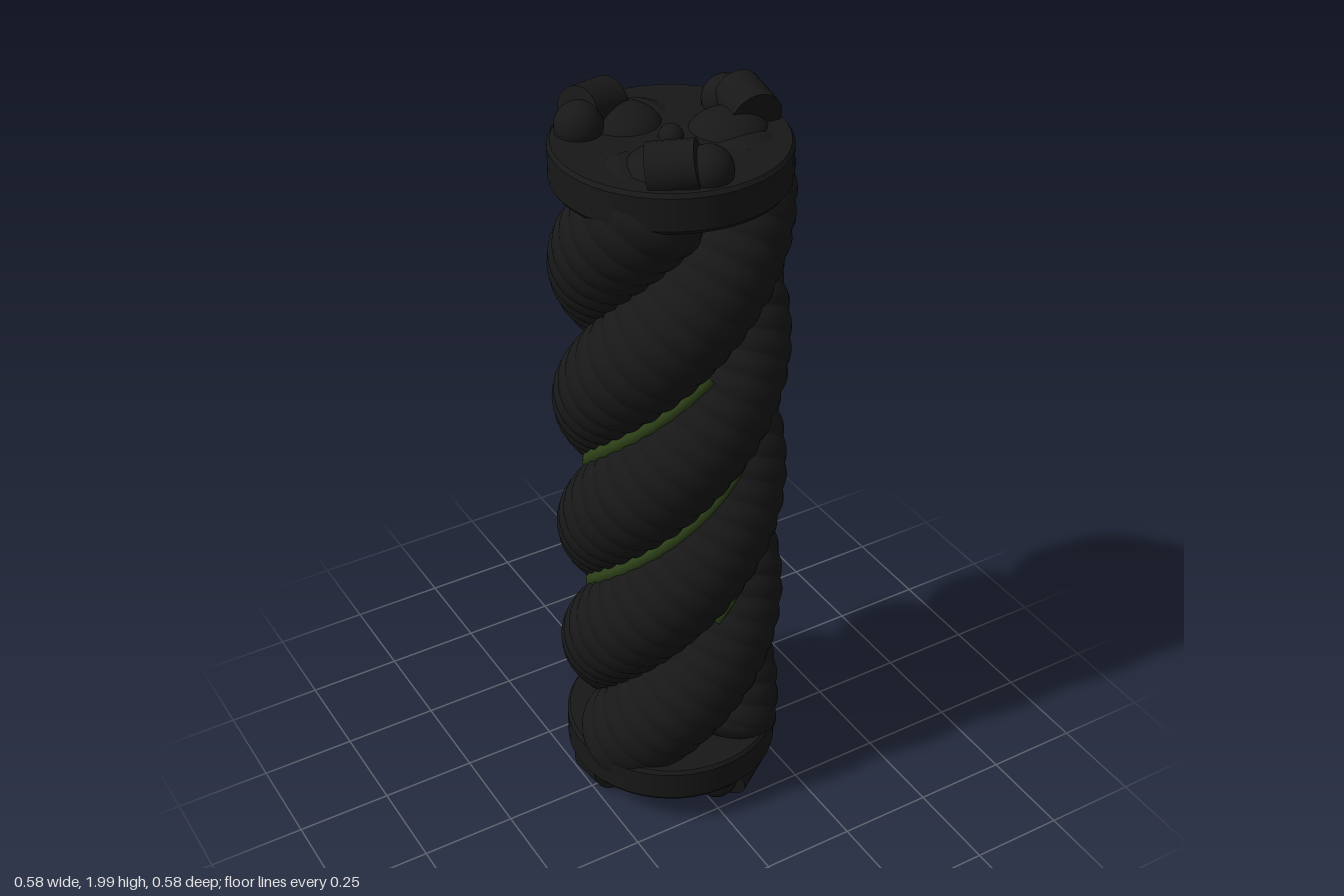
import * as THREE from 'three';
import { ParametricGeometry } from 'three/addons/geometries/ParametricGeometry.js';

const TWIST = -2 * Math.PI / 1.14; // radians per unit of height
const PHASE = 0.55;                // strand angle at mid height
const HALF = 0.86;                 // half height of a strand
const RIBS = 46;

const dark = new THREE.MeshStandardMaterial({ color: 0x181818 });
const green = new THREE.MeshStandardMaterial({ color: 0x2f4319 });

function add(parent, name, geometry, material = dark) {
  const mesh = new THREE.Mesh(geometry, material);
  mesh.name = name;
  parent.add(mesh);
  return mesh;
}

// Point on a helix around the y axis
function helix(radius, y, angle) {
  const a = angle + TWIST * y;
  return new THREE.Vector3(radius * Math.cos(a), y, radius * Math.sin(a));
}

class HelixCurve extends THREE.Curve {
  constructor(radius, half, angle) {
    super();
    Object.assign(this, { radius, half, angle });
  }
  getPoint(t, target = new THREE.Vector3()) {
    return target.copy(helix(this.radius, (2 * t - 1) * this.half, this.angle));
  }
}

// Thick strand with fine ribs and rounded ends
function strandGeometry() {
  const R = 0.15, r = 0.138;
  const surface = (u, v, target) => {
    const y = (2 * v - 1) * HALF;
    const a = PHASE + TWIST * y;
    const N = new THREE.Vector3(Math.cos(a), 0, Math.sin(a));
    const T = new THREE.Vector3(-R * TWIST * Math.sin(a), 1, R * TWIST * Math.cos(a)).normalize();
    const B = T.clone().cross(N);
    const e = Math.min(1, Math.max(0, (Math.abs(y) - HALF + 0.05) / 0.05));
    const rib = 0.006 * Math.abs(Math.sin(v * RIBS * Math.PI));
    const rad = (r - 0.002 + rib) * Math.sqrt(Math.max(0, 1 - e * e));
    const w = u * 2 * Math.PI;
    target.copy(helix(R, y, PHASE))
      .addScaledVector(N, rad * Math.cos(w))
      .addScaledVector(B, rad * Math.sin(w));
  };
  return new ParametricGeometry(surface, 28, RIBS * 8);
}

// Clamp band with its three strand tips
function createEnd(name) {
  const end = new THREE.Group();
  end.name = name;
  const profile = [[0, 0.80], [0.275, 0.80], [0.282, 0.81], [0.282, 0.89], [0.275, 0.90], [0, 0.90]]
    .map(([x, y]) => new THREE.Vector2(x, y));
  // repeated corner points keep the band's faces crisp
  const sharp = profile.flatMap((p, i) => (i > 0 && i < 5 ? [p, p.clone()] : [p]));
  add(end, 'band', new THREE.LatheGeometry(sharp, 48));
  add(end, 'coreTip', new THREE.SphereGeometry(0.03, 20, 12)).position.y = 0.9;

  for (let i = 0; i < 3; i++) {
    const tip = new THREE.Group();
    tip.name = 'strandTip';
    tip.rotation.y = i * 2 * Math.PI / 3;
    end.add(tip);
    const collar = add(tip, 'tipCollar', new THREE.CylinderGeometry(0.058, 0.064, 0.11, 24));
    collar.position.set(0.205, 0.927, -0.005);
    collar.quaternion.setFromUnitVectors(
      new THREE.Vector3(0, 1, 0), new THREE.Vector3(0.12, 0.2, -1).normalize());
    add(tip, 'tipBall', new THREE.SphereGeometry(0.058, 24, 16)).position.set(0.195, 0.915, -0.08);
    const root = add(tip, 'tipRoot', new THREE.SphereGeometry(0.1, 24, 16));
    root.position.set(0.14, 0.875, 0.02);
    root.scale.set(1, 0.65, 0.95);
  }
  return end;
}

export function createModel() {
  const model = new THREE.Group();
  model.name = 'twistedCable';
  const cable = new THREE.Group();
  cable.name = 'cable';
  cable.position.y = 1;
  model.add(cable);

  const strand = strandGeometry();
  const seam = new THREE.TubeGeometry(new HelixCurve(0.2, 0.37, PHASE + Math.PI / 3), 80, 0.023, 10);
  for (let i = 0; i < 3; i++) {
    const turn = i * 2 * Math.PI / 3;
    add(cable, 'strand', strand).rotation.y = turn;
    // glowing thread lying in the groove between two strands
    add(cable, 'grooveThread', seam, green).rotation.y = turn;
  }
  add(cable, 'core', new THREE.CylinderGeometry(0.03, 0.03, 1.8, 20));

  // The lower end is the upper one turned over about a strand's mid-height axis
  cable.add(createEnd('topEnd'));
  const bottom = createEnd('bottomEnd');
  bottom.quaternion.setFromAxisAngle(
    new THREE.Vector3(Math.cos(PHASE), 0, Math.sin(PHASE)), Math.PI);
  cable.add(bottom);
  return model;
}
